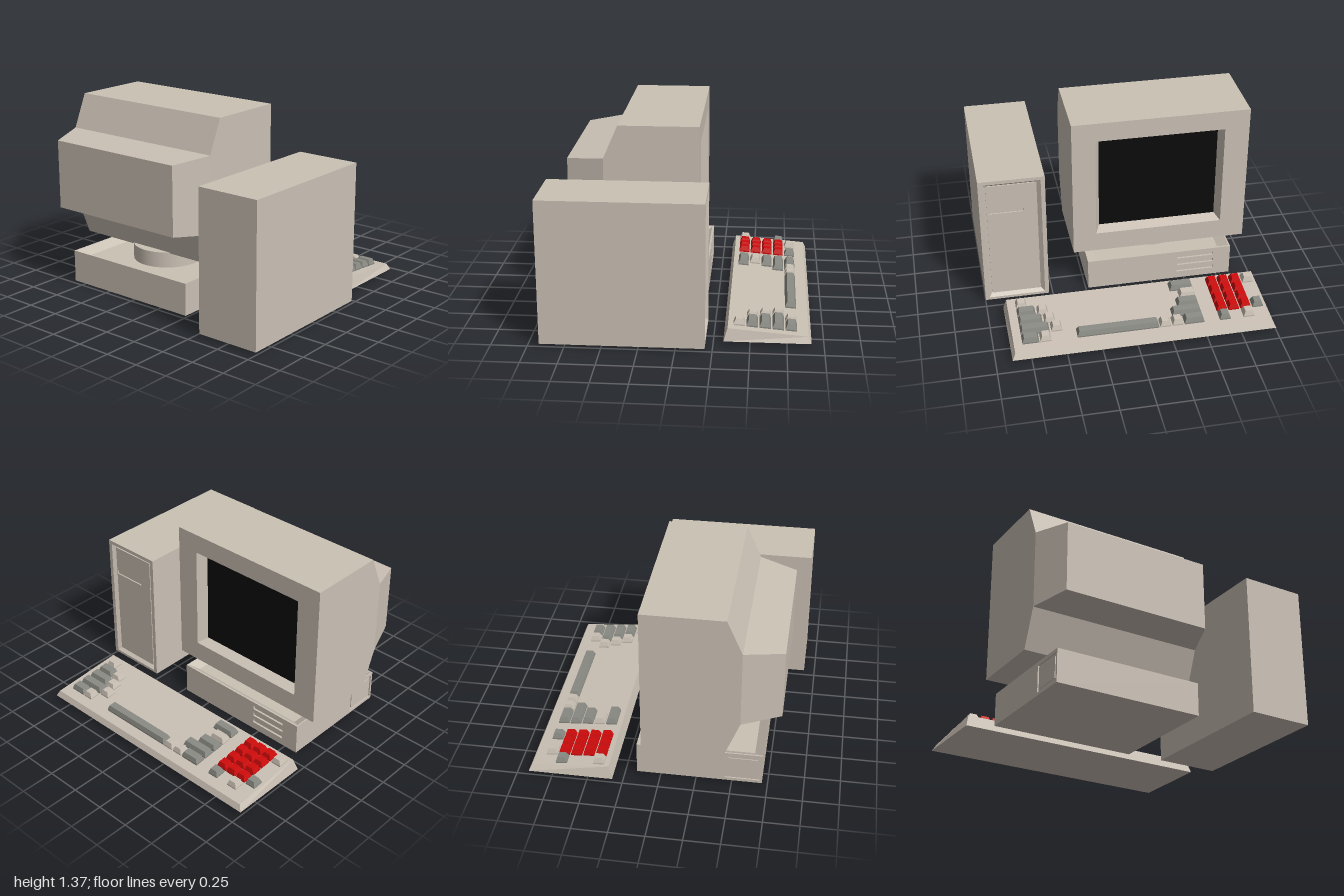
import * as THREE from 'three';

const material = (name, color) => {
  const m = new THREE.MeshStandardMaterial({ color });
  m.name = name;
  return m;
};

// Loft through rectangles [t, a0, a1, b0, b1] along an axis, closed at both ends.
// (a, b) are the next two axes in cyclic order: x -> y,z   y -> z,x
function loft(axis, loops) {
  const pos = [];
  const place = (t, a, b) => (axis === 'x' ? [t, a, b] : [b, t, a]);
  const rings = loops.map(([t, a0, a1, b0, b1]) =>
    [[a0, b0], [a1, b0], [a1, b1], [a0, b1]].map(([a, b]) => place(t, a, b)));
  const quad = (p, q, r, s) => pos.push(...p, ...q, ...r, ...p, ...r, ...s);
  for (let i = 0; i + 1 < rings.length; i++) {
    const A = rings[i], B = rings[i + 1];
    for (let k = 0; k < 4; k++) {
      const n = (k + 1) % 4;
      quad(A[k], A[n], B[n], B[k]);
    }
  }
  const first = rings[0], last = rings[rings.length - 1];
  quad(first[3], first[2], first[1], first[0]);
  quad(...last);
  const g = new THREE.BufferGeometry();
  g.setAttribute('position', new THREE.Float32BufferAttribute(pos, 3));
  g.computeVertexNormals();
  return g;
}

// Upright plate with rectangular holes; rectangles are [u0, u1, v0, v1]
function plate([u0, u1, v0, v1], holes, depth) {
  const trace = (path, a, b, c, d) =>
    path.moveTo(a, c).lineTo(b, c).lineTo(b, d).lineTo(a, d).closePath();
  const shape = new THREE.Shape();
  trace(shape, u0, u1, v0, v1);
  for (const h of holes) {
    const hole = new THREE.Path();
    trace(hole, ...h);
    shape.holes.push(hole);
  }
  return new THREE.ExtrudeGeometry(shape, { depth, bevelEnabled: false });
}

export function createModel() {
  const root = new THREE.Group();
  root.name = 'desktopComputer';
  const beige = material('beige plastic', 0xcbc1b5);
  const black = material('black glass', 0x0b0b0b);
  const grey = material('grey keys', 0x8b8b85);
  const red = material('red keys', 0xd00a0a);

  const group = (name) => {
    const g = new THREE.Group();
    g.name = name;
    root.add(g);
    return g;
  };
  const add = (parent, name, geometry, mat = beige) => {
    const m = new THREE.Mesh(geometry, mat);
    m.name = name;
    parent.add(m);
    return m;
  };

  // Tower with a recessed front panel and a drive slot
  const tower = group('tower');
  add(tower, 'towerCase', loft('x', [
    [-0.92, 0.02, 1.037, 0.53, 1.0],
    [0.2, 0.02, 1.037, 0.53, 1.0],
    [0.2, 0.04, 1.01, 0.56, 0.97],
    [0.17, 0.065, 0.985, 0.588, 0.947],
  ]));
  const panel = add(tower, 'towerPanel',
    plate([-0.947, -0.588, 0.065, 0.985], [[-0.942, -0.685, 0.755, 0.783]], 0.01));
  panel.rotation.y = Math.PI / 2;
  panel.position.x = 0.17;

  // Monitor: tapered back, full front and sloping screen surround
  const monitor = group('monitor');
  add(monitor, 'monitorShell', loft('x', [
    [-0.825, 0.6, 1.1, -0.86, 0.225],
    [-0.555, 0.57, 1.13, -0.957, 0.327],
    [-0.45, 0.302, 1.37, -0.957, 0.327],
    [0.12, 0.302, 1.37, -0.957, 0.327],
    [0.12, 0.45, 1.227, -0.778, 0.158],
    [0.04, 0.476, 1.195, -0.746, 0.123],
  ]));
  add(monitor, 'screen', loft('x', [
    [0.036, 0.476, 1.195, -0.746, 0.123],
    [0.043, 0.476, 1.195, -0.746, 0.123],
  ]), black);
  const neck = add(monitor, 'monitorNeck', new THREE.CylinderGeometry(0.254, 0.254, 0.125, 40));
  neck.position.set(-0.27, 0.2475, -0.315);

  // Base unit with a sunken top
  const base = group('baseUnit');
  add(base, 'baseCase', loft('y', [
    [0, -0.845, 0.23, -0.71, 0.155],
    [0.237, -0.845, 0.23, -0.71, 0.155],
    [0.195, -0.775, 0.16, -0.65, 0.1],
  ]));
  // Front with three drive slots
  const slots = [0.19, 0.13, 0.07].map((y) => [0.447, 0.725, y - 0.014, y + 0.014]);
  const front = add(base, 'baseFront', plate([-0.23, 0.855, 0, 0.237], slots, 0.015));
  front.rotation.y = Math.PI / 2;
  front.position.x = 0.155;
  // Side with a framed hatch near the rear
  const side = add(base, 'baseSide',
    plate([-0.155, 0.71, 0, 0.237], [[0.45, 0.695, 0.022, 0.212]], 0.01));
  side.rotation.y = Math.PI;
  side.position.z = -0.845;
  const hatch = add(base, 'sideHatch', new THREE.BoxGeometry(0.205, 0.15, 0.008));
  hatch.position.set(-0.5725, 0.117, -0.847);

  // Keyboard body: bevelled slab whose top falls towards the user
  const keyboard = group('keyboard');
  const slope = 0.0826;
  const slab = loft('y', [
    [0.026, -0.997, 0.885, 0.32, 0.915],
    [0.115, -0.973, 0.863, 0.347, 0.895],
  ]);
  const p = slab.attributes.position;
  for (let i = 0; i < p.count; i++) {
    if (p.getY(i) > 0.05) p.setY(i, 0.115 - slope * (p.getX(i) - 0.347));
  }
  slab.computeVertexNormals();
  add(keyboard, 'keyboardBody', slab);

  // Keys stand on the sloping top: [row, z start, z end]
  const keys = new THREE.Group();
  keys.name = 'keys';
  keys.position.set(0.347, 0.115, 0);
  keys.rotation.z = -Math.atan(slope);
  keyboard.add(keys);
  const addKey = (name, mat, [row, z0, z1]) => {
    const x = 0.076 + 0.0888 * row, r = 0.039, i = 0.013;
    add(keys, name, loft('y', [
      [-0.005, z0, z1, x - r, x + r],
      [0.01, z0, z1, x - r, x + r],
      [0.045, z0 + i, z1 - i, x - r + i, x + r - i],
    ]), mat);
  };
  for (let row = 0; row < 4; row++) {
    for (const z of [-0.823, -0.735, -0.648]) addKey('redKey', red, [row, z - 0.039, z + 0.039]);
  }
  [
    [0, -0.952, -0.874], [4, -0.862, -0.784], [1, -0.495, -0.378],
    [4, -0.341, -0.265], [4, -0.252, -0.176], [0, 0.727, 0.803],
    [1, 0.584, 0.66], [2, 0.547, 0.623], [3, 0.511, 0.587], [4, 0.6, 0.676],
  ].forEach((k) => addKey('lightKey', beige, k));
  [
    [3, -0.952, -0.874], [4, -0.687, -0.609], [0, -0.495, -0.325],
    [2, -0.495, -0.341], [3, -0.495, -0.283], [4, -0.495, -0.352],
    [1, 0.674, 0.803], [2, 0.637, 0.803], [3, 0.6, 0.803], [4, 0.685, 0.803],
  ].forEach((k) => addKey('greyKey', grey, k));
  addKey('spaceBar', grey, [4, -0.167, 0.415]);

  return root;
}
